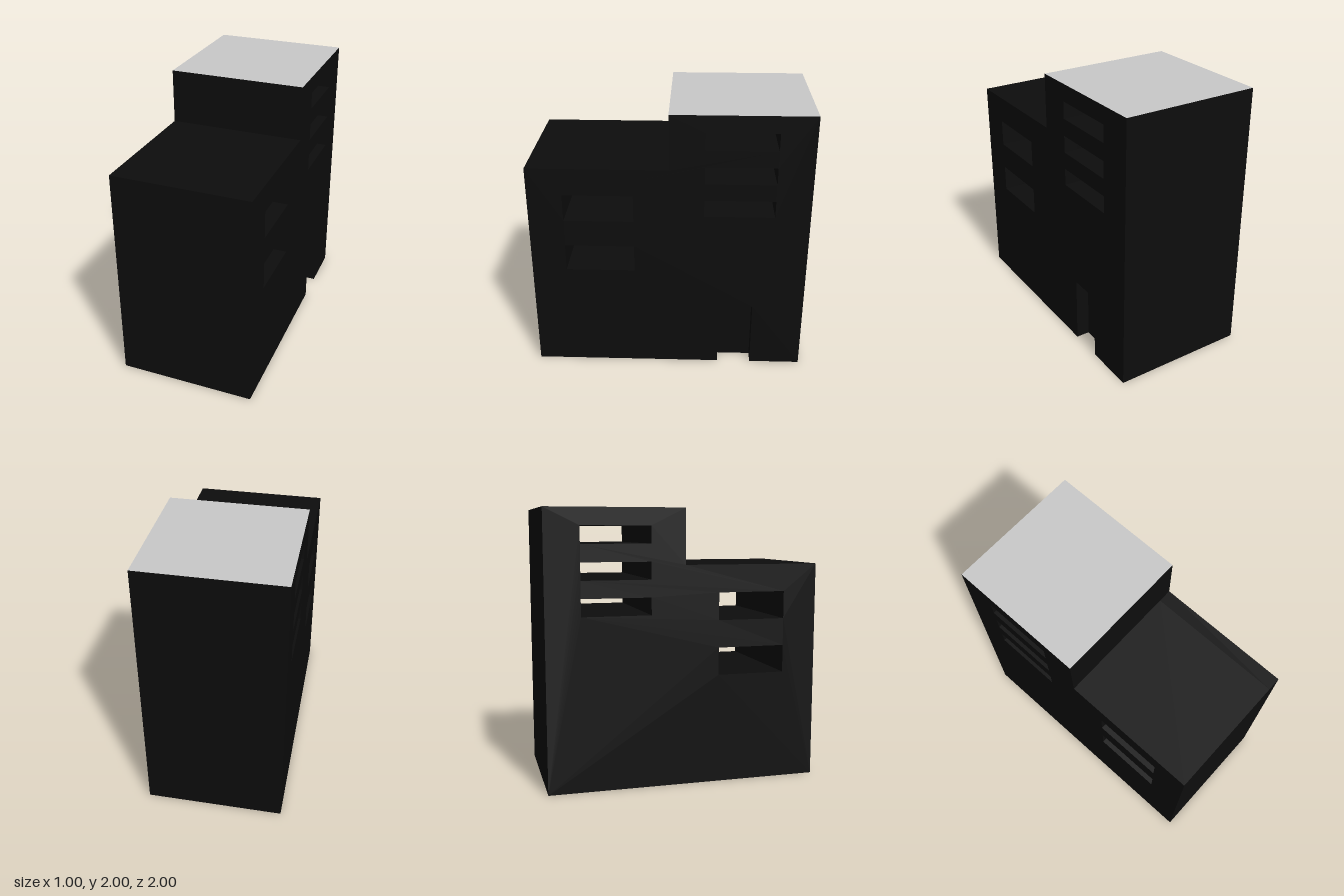
import * as THREE from 'three';

const ROOF_Y = 2, WALL_TOP = 1.999;

// rectangular opening in the side profile; s runs from front (-1) to back (+1)
function opening(s0, s1, y0, y1) {
  const p = new THREE.Path();
  p.moveTo(s0, y0);
  p.lineTo(s0, y1);
  p.lineTo(s1, y1);
  p.lineTo(s1, y0);
  p.closePath();
  return p;
}

// stepped side profile with window openings, optionally notched for the doorway
function sideProfile(withDoor) {
  const points = [[-1, 0]];
  if (withDoor) points.push([0.375, 0], [0.375, 0.5], [0.625, 0.5], [0.625, 0]);
  points.push([1, 0], [1, WALL_TOP], [0, WALL_TOP], [0, 1.6], [-1, 1.6]);
  const shape = new THREE.Shape(points.map(([s, y]) => new THREE.Vector2(s, y)));
  for (const y of [0.8, 1.2]) shape.holes.push(opening(-0.75, -0.25, y, y + 0.2));
  for (const y of [1.25, 1.5, 1.75]) shape.holes.push(opening(0.25, 0.75, y, y + 0.125));
  return shape;
}

export function createModel() {
  const wallBlack = new THREE.MeshStandardMaterial({ color: 0x0d0d0d });
  wallBlack.name = 'wallBlack';
  const roofGrey = new THREE.MeshStandardMaterial({ color: 0xcacaca });
  roofGrey.name = 'roofGrey';

  const group = new THREE.Group();
  group.name = 'building';

  // slab of the building between two x positions
  function slab(name, x0, x1, withDoor) {
    const geometry = new THREE.ExtrudeGeometry(sideProfile(withDoor), { depth: x1 - x0, bevelEnabled: false });
    geometry.rotateY(Math.PI / 2);
    geometry.translate(x0, 0, 0);
    const mesh = new THREE.Mesh(geometry, wallBlack);
    mesh.name = name;
    group.add(mesh);
  }
  slab('mainBody', -0.5, 0.4, false);
  slab('doorwayWall', 0.4, 0.5, true);

  // pale flat roof over the tall rear block
  const roof = new THREE.Mesh(new THREE.PlaneGeometry(1, 1), roofGrey);
  roof.name = 'towerRoof';
  roof.rotation.x = -Math.PI / 2;
  roof.position.set(0, ROOF_Y, -0.5);
  group.add(roof);

  return group;
}
